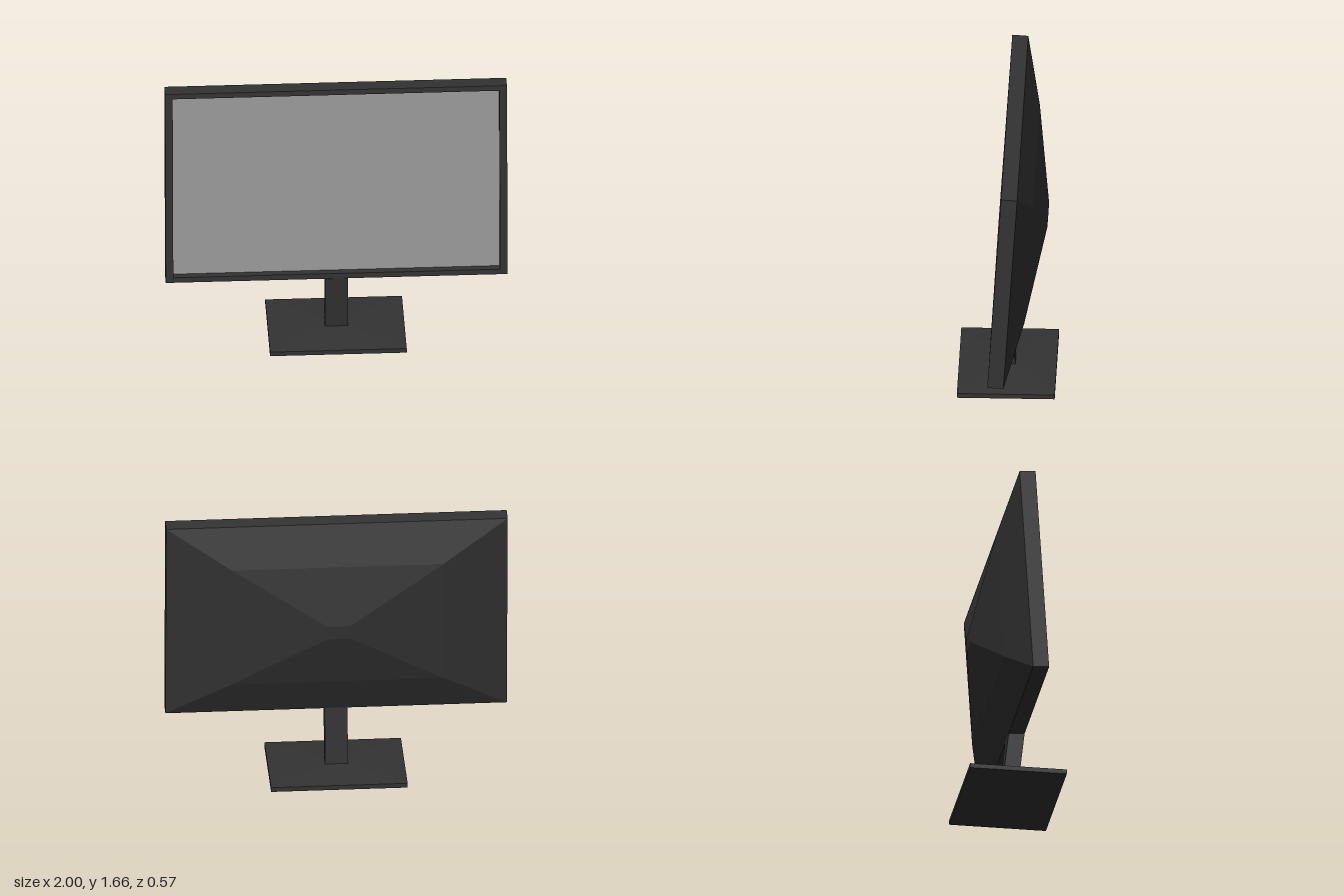
import * as THREE from 'three';

const dark = new THREE.MeshStandardMaterial({ color: 0x333333, flatShading: true });
const pale = new THREE.MeshStandardMaterial({ color: 0x999999 });

function part(name, geometry, material = dark) {
  const mesh = new THREE.Mesh(geometry, material);
  mesh.name = name;
  return mesh;
}

// Loft through rectangular rings [y, half width, half depth, centre z], bottom to top
function loft(rings, closeBottom = true) {
  const pos = [];
  const corners = rings.map(([y, w, d, cz = 0]) =>
    [[-1, 1], [1, 1], [1, -1], [-1, -1]].map(([sx, sz]) => [sx * w, y, cz + sz * d]));
  const quad = (a, b, c, d) => pos.push(...a, ...b, ...c, ...a, ...c, ...d);
  for (let r = 0; r < corners.length - 1; r++) {
    const lo = corners[r], hi = corners[r + 1];
    for (let i = 0; i < 4; i++) {
      const j = (i + 1) % 4;
      quad(lo[i], lo[j], hi[j], hi[i]);
    }
  }
  quad(...corners[corners.length - 1]);
  if (closeBottom) quad(...[...corners[0]].reverse());
  const geometry = new THREE.BufferGeometry();
  geometry.setAttribute('position', new THREE.Float32BufferAttribute(pos, 3));
  geometry.computeVertexNormals();
  return geometry;
}

function rectangle(PathType, w, h) {
  return new PathType([[-w, -h], [w, -h], [w, h], [-w, h]].map(p => new THREE.Vector2(...p)));
}

export function createModel() {
  const model = new THREE.Group();
  model.name = 'monitor';

  // Base plate with a gently sloped top, and the forward-leaning neck
  model.add(part('base', loft([[0, 0.4, 0.286], [0.028, 0.4, 0.286], [0.046, 0.067, 0.047]])));
  model.add(part('neck', loft([[0.044, 0.067, 0.047, 0.001], [0.399, 0.067, 0.047, 0.041]])));

  // Display, tilted back; local z = 0 is the front of the bezel
  const display = new THREE.Group();
  display.name = 'display';
  display.position.set(0, 1.028, 0.048);
  display.rotation.x = -0.064;
  model.add(display);

  const halfW = 1, halfH = 0.629, thick = 0.094;
  const openW = 0.956, openH = 0.596;

  // Bezel frame around the recessed panel
  const outline = rectangle(THREE.Shape, halfW, halfH);
  outline.holes.push(rectangle(THREE.Path, openW, openH));
  const bezel = new THREE.ExtrudeGeometry(outline, { depth: thick, bevelEnabled: false });
  bezel.translate(0, 0, -thick);
  display.add(part('bezel', bezel));

  const panel = part('screenPanel', new THREE.PlaneGeometry(2 * openW, 2 * openH), pale);
  panel.position.z = -0.045;
  display.add(panel);

  // Faceted rear shell tapering to a small flat centre
  const shell = loft([[0, 1], [0.095, 0.62], [0.19, 0.068]]
    .map(([y, s]) => [y, s * halfW, s * halfH]), false);
  shell.rotateX(-Math.PI / 2);
  shell.translate(0, 0, -thick);
  display.add(part('backShell', shell));

  return model;
}
